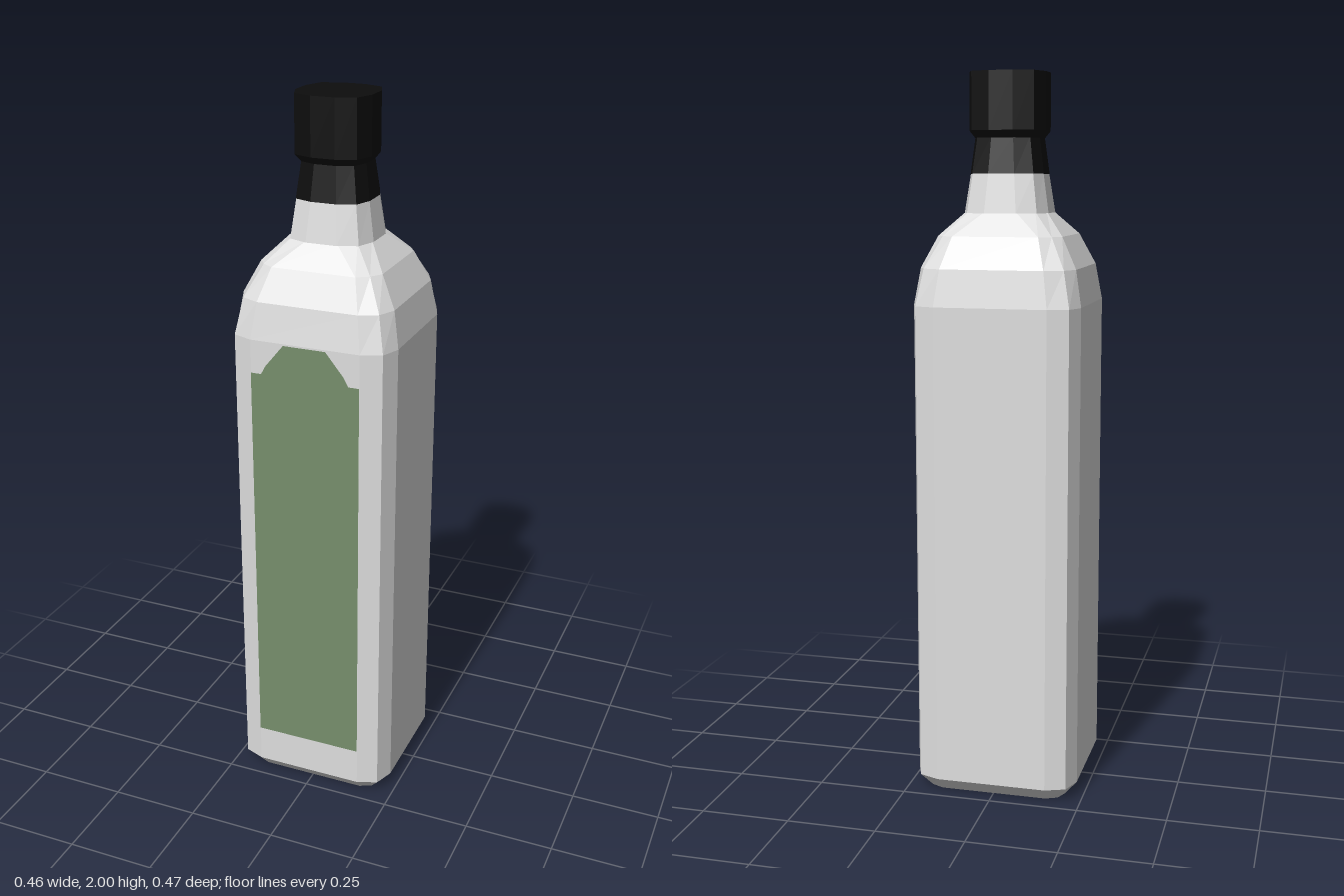
import * as THREE from 'three';

// Twelve-sided rounded-square ring: h = half width, e = half of the flat side, d = corner point
function ring([y, h, e, d]) {
  const points = [];
  let quarter = [[-e, h], [e, h], [d, d]];
  for (let q = 0; q < 4; q++) {
    points.push(...quarter.map(([x, z]) => new THREE.Vector3(x, y, z)));
    quarter = quarter.map(([x, z]) => [z, -x]);
  }
  return points;
}

// Faceted skin through a stack of rings, optionally closed at the ends
function loft(name, material, sections, closeBottom, closeTop) {
  const rings = sections.map(ring);
  const corners = [];
  const n = rings[0].length;
  for (let j = 0; j < rings.length - 1; j++) {
    for (let i = 0; i < n; i++) {
      const k = (i + 1) % n;
      const a = rings[j][i], b = rings[j][k], c = rings[j + 1][k], d = rings[j + 1][i];
      corners.push(a, b, c, a, c, d);
    }
  }
  const first = rings[0], last = rings[rings.length - 1];
  for (let i = 1; i < n - 1; i++) {
    if (closeBottom) corners.push(first[0], first[i + 1], first[i]);
    if (closeTop) corners.push(last[0], last[i], last[i + 1]);
  }
  const geometry = new THREE.BufferGeometry().setFromPoints(corners);
  geometry.computeVertexNormals();
  const mesh = new THREE.Mesh(geometry, material);
  mesh.name = name;
  return mesh;
}

function flat(name, color) {
  const material = new THREE.MeshStandardMaterial({ color });
  material.name = name;
  return material;
}

export function createModel() {
  const group = new THREE.Group();
  group.name = 'bottle';
  const glass = flat('pale glass', 0xdedede);
  const green = flat('label green', 0x768e6c);
  const black = flat('cap black', 0x0d0d0d);

  // Square body with chamfered base and stepped shoulder
  group.add(loft('body', glass, [
    [0, 0.198, 0.15, 0.183],
    [0.04, 0.232, 0.155, 0.211],
    [1.38, 0.232, 0.155, 0.211],
    [1.48, 0.215, 0.142, 0.192],
    [1.565, 0.172, 0.118, 0.15],
    [1.63, 0.112, 0.042, 0.092],
  ], true, false));

  // Tapering neck
  group.add(loft('neck', glass, [
    [1.625, 0.118, 0.044, 0.097],
    [1.73, 0.102, 0.036, 0.084],
  ], true, false));

  // Dark collar and screw cap
  group.add(loft('collar', black, [
    [1.73, 0.103, 0.036, 0.085],
    [1.83, 0.09, 0.03, 0.073],
  ], false, false));
  group.add(loft('cap', black, [
    [1.825, 0.09, 0.03, 0.073],
    [1.845, 0.106, 0.033, 0.086],
    [2, 0.106, 0.033, 0.086],
  ], true, true));

  // Front label with a shouldered top
  const outline = [
    [-0.155, 0.15], [0.155, 0.15], [0.155, 1.288], [0.125, 1.288],
    [0.112, 1.312], [0.06, 1.376], [-0.06, 1.376], [-0.112, 1.312],
    [-0.125, 1.288], [-0.155, 1.288],
  ].map(([x, y]) => new THREE.Vector2(x, y));
  const label = new THREE.Mesh(new THREE.ShapeGeometry(new THREE.Shape(outline)), green);
  label.name = 'label';
  label.position.z = 0.234;
  group.add(label);

  return group;
}
